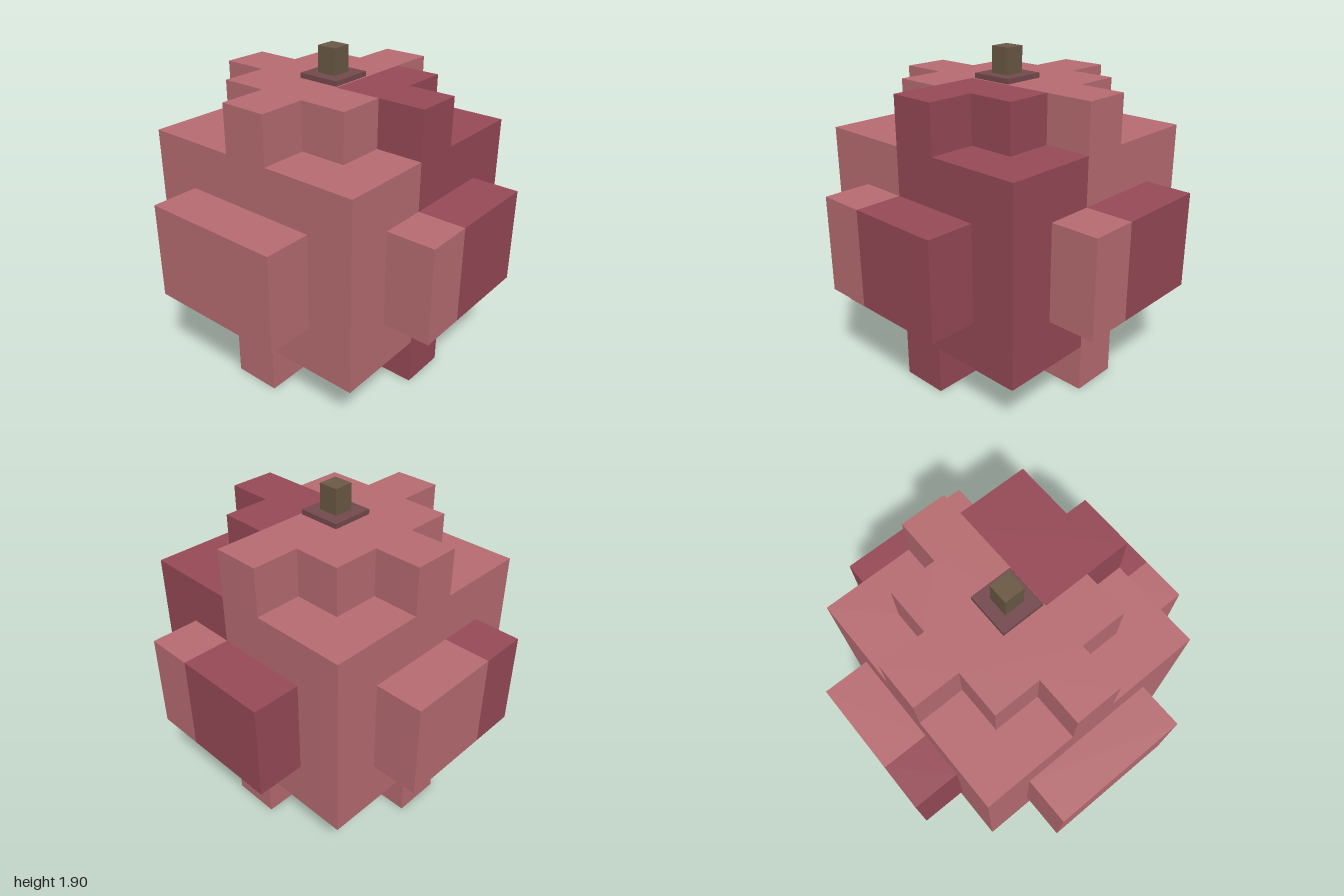
import * as THREE from 'three';

const U = 2 / 7; // one block

const rose = new THREE.MeshStandardMaterial({ color: 0xb86d72 });
rose.name = 'rose';
const darkRose = new THREE.MeshStandardMaterial({ color: 0x974a57 });
darkRose.name = 'dark rose';
const plum = new THREE.MeshStandardMaterial({ color: 0x754a4f });
plum.name = 'plum';
const bark = new THREE.MeshStandardMaterial({ color: 0x6b5945 });
bark.name = 'bark';

// Footprint of [x, z] corners in blocks, extruded from y0 to y1 blocks
function prism(name, corners, y0, y1, material) {
  const shape = new THREE.Shape(corners.map(([x, z]) => new THREE.Vector2(x * U, -z * U)));
  const geometry = new THREE.ExtrudeGeometry(shape, { depth: (y1 - y0) * U, bevelEnabled: false });
  geometry.rotateX(-Math.PI / 2).translate(0, y0 * U, 0);
  const mesh = new THREE.Mesh(geometry, material);
  mesh.name = name;
  return mesh;
}

const rect = (x0, x1, z0, z1) => [[x0, z0], [x1, z0], [x1, z1], [x0, z1]];

export function createModel() {
  const model = new THREE.Group();
  model.name = 'blockFruit';

  // Main body, with a dark patch over one front corner
  model.add(
    prism('body', [[-2.5, -2.5], [2.5, -2.5], [2.5, 0.5], [-0.5, 0.5], [-0.5, 2.5], [-2.5, 2.5]], 1, 5, rose),
    prism('bodyPatch', rect(-0.5, 2.5, 0.5, 2.5), 1, 5, darkRose)
  );

  // Stepped diamond caps above and below
  const cap = [
    [-0.5, -2.5], [0.5, -2.5], [0.5, -1.5], [1.5, -1.5], [1.5, -0.5], [2.5, -0.5], [2.5, 0.5], [-0.5, 0.5],
    [-0.5, 1.5], [-1.5, 1.5], [-1.5, 0.5], [-2.5, 0.5], [-2.5, -0.5], [-1.5, -0.5], [-1.5, -1.5], [-0.5, -1.5]
  ];
  const capPatch = [[-0.5, 0.5], [1.5, 0.5], [1.5, 1.5], [0.5, 1.5], [0.5, 2.5], [-0.5, 2.5]];
  for (const [side, y] of [['bottom', 0], ['top', 5]]) {
    model.add(
      prism(side + 'Cap', cap, y, y + 1, rose),
      prism(side + 'CapPatch', capPatch, y, y + 1, darkRose)
    );
  }

  // Side bulges, some split into two colours
  const bulges = [
    ['frontBulge', rect(-1.5, -0.5, 2.5, 3.5), rose],
    ['frontBulgePatch', rect(-0.5, 1.5, 2.5, 3.5), darkRose],
    ['backBulge', rect(-0.5, 1.5, -3.5, -2.5), rose],
    ['backBulgePatch', rect(-1.5, -0.5, -3.5, -2.5), darkRose],
    ['leftBulge', rect(2.5, 3.5, 0.5, 1.5), rose],
    ['leftBulgePatch', rect(2.5, 3.5, -1.5, 0.5), darkRose],
    ['rightBulge', rect(-3.5, -2.5, -1.5, 1.5), rose]
  ];
  for (const [name, corners, material] of bulges) model.add(prism(name, corners, 2, 4, material));

  // Stem on a thin square base
  const base = new THREE.Mesh(new THREE.BoxGeometry(0.264, 0.03, 0.264), plum);
  base.name = 'stemBase';
  base.position.y = 6 * U + 0.015;
  const stem = new THREE.Mesh(new THREE.BoxGeometry(0.122, 0.156, 0.122), bark);
  stem.name = 'stem';
  stem.position.y = 6 * U + 0.03 + 0.078;
  model.add(base, stem);

  return model;
}
